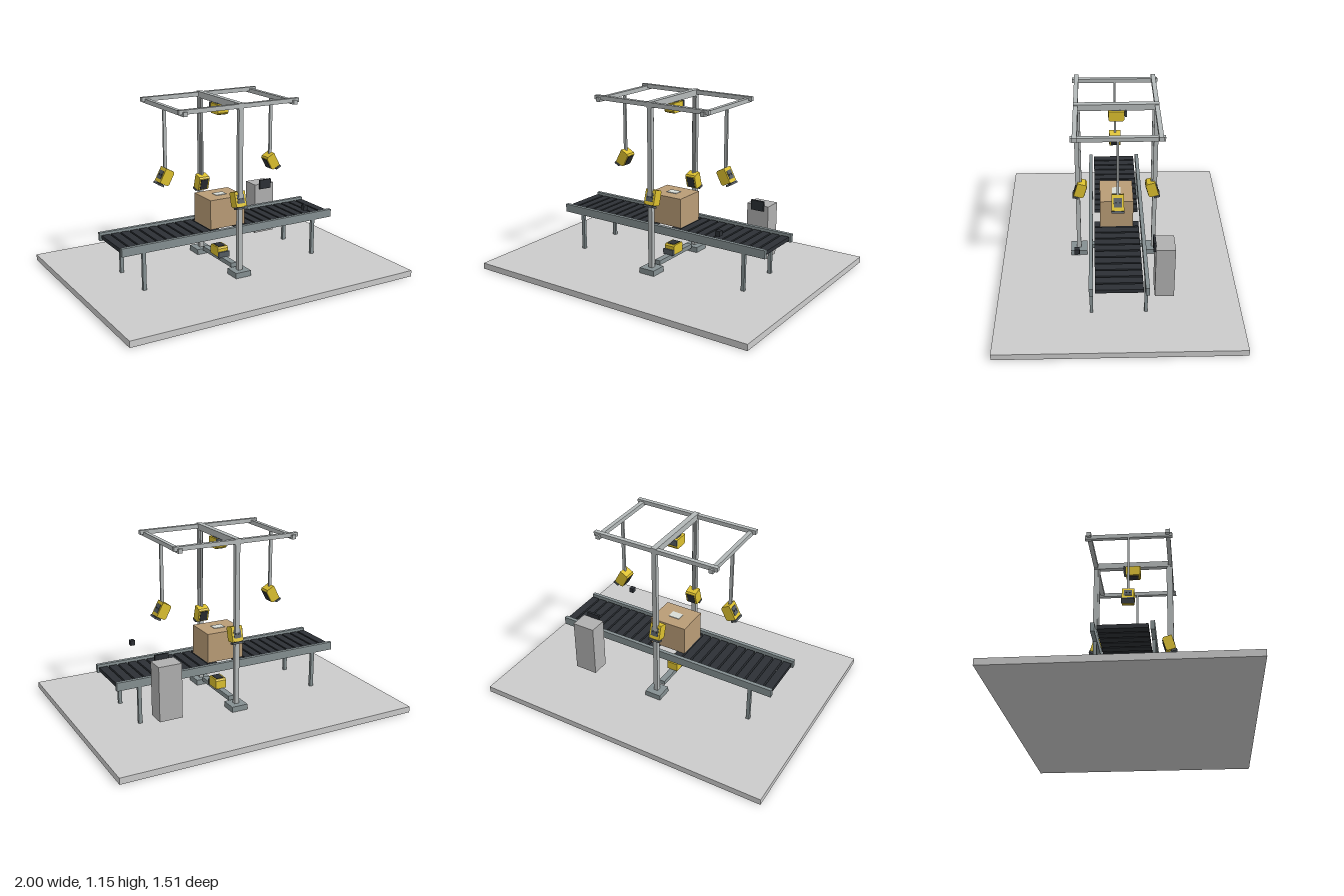
import * as THREE from 'three';

const mat = (color) => new THREE.MeshStandardMaterial({ color });
const floorGrey = mat(0xcccccc), frameGrey = mat(0xb4b9b9), steel = mat(0x859092);
const dark = mat(0x2c3035), panelGrey = mat(0x555c62), yellow = mat(0xdcc02f);
const cardboard = mat(0xb99c76), paper = mat(0xd8dcd6), cabinetGrey = mat(0xb0b0b0);

// Box given by its low and high corner on each axis
function block(parent, name, material, [x0, x1], [y0, y1], [z0, z1]) {
  const mesh = new THREE.Mesh(new THREE.BoxGeometry(x1 - x0, y1 - y0, z1 - z0), material);
  mesh.position.set((x0 + x1) / 2, (y0 + y1) / 2, (z0 + z1) / 2);
  mesh.name = name;
  parent.add(mesh);
  return mesh;
}
const mid = (c, w) => [c - w / 2, c + w / 2];

// Scanner head: looks along +z, long axis on y, connector at the lower end
function scanner(parent, name, [x, y, z], yaw, pitch) {
  const g = new THREE.Group();
  g.name = name;
  const side = new THREE.Shape([
    [-0.0325, -0.049], [0.022, -0.049], [0.0325, -0.04],
    [0.0325, 0.04], [0.022, 0.049], [-0.0325, 0.049],
  ].map(([a, b]) => new THREE.Vector2(a, b)));
  const geo = new THREE.ExtrudeGeometry(side, { depth: 0.075, bevelEnabled: false });
  geo.rotateY(-Math.PI / 2).translate(0.0375, 0, 0);
  const body = new THREE.Mesh(geo, yellow);
  body.name = 'scannerBody';
  g.add(body);
  block(g, 'scannerWindow', dark, mid(0, 0.054), mid(0, 0.07), [0.03, 0.0355]);
  block(g, 'scannerBackPanel', panelGrey, mid(0, 0.05), mid(0, 0.056), [-0.035, -0.03]);
  for (const s of [-1, 1]) {
    block(g, 'scannerPort', dark, mid(s * 0.012, 0.01), mid(0, 0.01), [-0.037, -0.034]);
  }
  block(g, 'scannerConnector', panelGrey, mid(0, 0.08), [-0.064, -0.052], [-0.036, 0.002]);
  block(g, 'connectorNeck', dark, mid(0, 0.04), [-0.053, -0.048], [-0.028, -0.004]);
  g.rotation.set(pitch, yaw, 0, 'YXZ');
  g.position.set(x, y, z);
  parent.add(g);
}

export function createModel() {
  const model = new THREE.Group();
  model.name = 'conveyorScanStation';

  block(model, 'floorSlab', floorGrey, [-1, 1], [0, 0.04], [-0.757, 0.757]);

  // Conveyor: rails, legs and slats with a slot for the lower scanner
  const conveyor = new THREE.Group();
  conveyor.name = 'conveyor';
  model.add(conveyor);
  for (const s of [-1, 1]) {
    block(conveyor, 'sideRail', steel, [-0.777, 0.777], [0.282, 0.335], mid(s * 0.168, 0.024));
    for (const e of [-1, 1]) {
      block(conveyor, 'conveyorLeg', steel, mid(e * 0.63, 0.023), [0.04, 0.29], mid(s * 0.168, 0.02));
    }
  }
  for (let i = 0; i < 24; i++) {
    if (i === 11 || i === 12) continue;
    const x = (i - 11.5) * 0.0646;
    block(conveyor, 'slat', dark, mid(x, 0.053), [0.297, 0.322], mid(0, 0.288));
  }

  // Package with label
  block(model, 'package', cardboard, mid(0, 0.252), [0.322, 0.515], mid(0, 0.214));
  block(model, 'label', paper, mid(0, 0.075), [0.515, 0.519], mid(0, 0.056));

  // Gantry frame
  const gantry = new THREE.Group();
  gantry.name = 'gantry';
  model.add(gantry);
  for (const s of [-1, 1]) {
    block(gantry, 'basePlate', steel, mid(0, 0.11), [0.04, 0.076], mid(s * 0.25, 0.108));
    block(gantry, 'post', frameGrey, mid(0, 0.03), [0.07, 1.135], mid(s * 0.25, 0.028));
    block(gantry, 'longBeam', frameGrey, mid(0, 0.85), [1.121, 1.148], mid(s * 0.25, 0.028));
    block(gantry, 'endBeam', frameGrey, mid(s * 0.39, 0.027), [1.11, 1.137], mid(0, 0.554));
    block(gantry, 'endHanger', frameGrey, mid(s * 0.39, 0.02), [0.69, 1.12], mid(0, 0.013));
    block(gantry, 'sideHanger', frameGrey, mid(0, 0.013), [0.55, 1.125], mid(s * 0.234, 0.02));
  }
  block(gantry, 'centreBeam', frameGrey, mid(0, 0.036), [1.112, 1.153], mid(0, 0.528));
  block(gantry, 'lowerBeam', steel, mid(0, 0.04), [0.07, 0.099], mid(0, 0.37));

  // Scanner heads aimed at the package
  scanner(model, 'topScanner', [0, 1.079, 0], 0, Math.PI / 2);
  scanner(model, 'bottomScanner', [0, 0.132, 0], 0, -Math.PI / 2);
  for (const s of [-1, 1]) {
    scanner(model, 'sideScanner', [0, 0.54, s * 0.232], s > 0 ? Math.PI : 0, 0.28);
    scanner(model, 'endScanner', [s * 0.393, 0.688, 0], -s * Math.PI / 2, 0.49);
  }

  // Control cabinet with screen, and the small sensor opposite
  block(model, 'controlCabinet', cabinetGrey, [0.422, 0.574], [0.104, 0.457], [-0.345, -0.226]);
  block(model, 'screen', dark, [0.455, 0.545], [0.424, 0.489], [-0.228, -0.213]);
  block(model, 'sensorCube', dark, [0.485, 0.515], [0.394, 0.427], mid(0.25, 0.032));

  return model;
}
